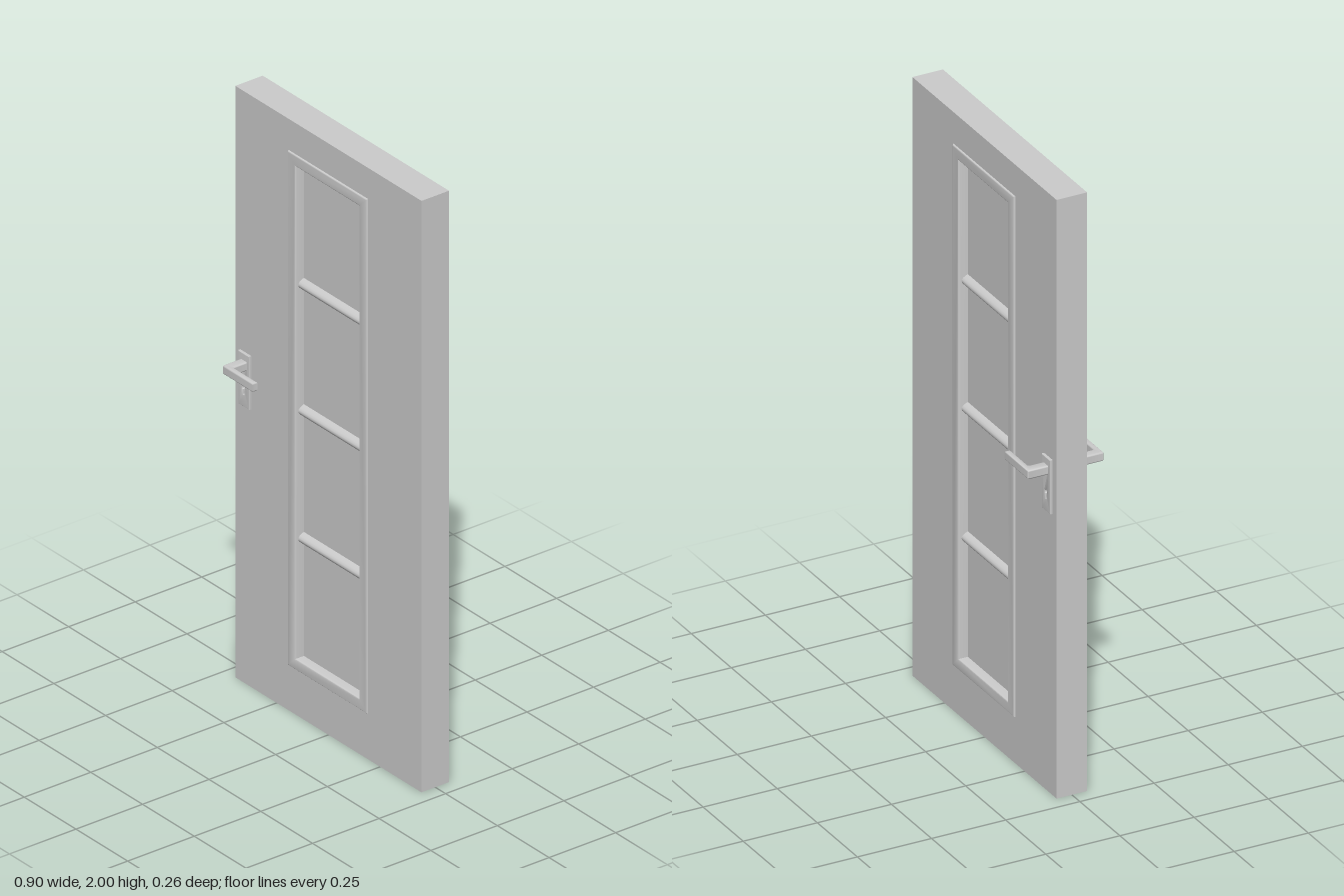
import * as THREE from 'three';
import { toCreasedNormals } from 'three/addons/utils/BufferGeometryUtils.js';

const grey = new THREE.MeshStandardMaterial({ color: 0xcccccc });

function part(name, geometry, parent) {
  const mesh = new THREE.Mesh(geometry, grey);
  mesh.name = name;
  parent.add(mesh);
  return mesh;
}

// Rectangle outline from its edges, as a Shape or a hole Path
function rect(Type, x0, x1, y0, y1) {
  const r = new Type();
  r.moveTo(x0, y0).lineTo(x1, y0).lineTo(x1, y1).lineTo(x0, y1).closePath();
  return r;
}

// Extrusion with a rounded edge that keeps the outline's size; spans z0..z1
function extrude(shape, z0, z1, bevel = 0) {
  const g = new THREE.ExtrudeGeometry(shape, {
    depth: z1 - z0 - 2 * bevel, bevelEnabled: bevel > 0, bevelThickness: bevel,
    bevelSize: bevel, bevelOffset: -bevel, bevelSegments: 3, curveSegments: 10,
  });
  g.translate(0, 0, z0 + bevel);
  return toCreasedNormals(g, 0.6);
}

// Door handle for a face at z = FACE; dir is the way the lever points in x
const FACE = 0.0515;
function createHandle(dir) {
  const handle = new THREE.Group();
  const cx = -0.399 * dir;

  // Back plate with a keyhole cut through it
  const plate = rect(THREE.Shape, cx - 0.027, cx + 0.027, 0.94, 1.12);
  const hole = new THREE.Path();
  hole.absarc(cx, 1.004, 0.007, -1.1, Math.PI + 1.1, false);
  hole.lineTo(cx - 0.0032, 0.982).lineTo(cx + 0.0032, 0.982).closePath();
  plate.holes.push(hole);
  part('handlePlate', extrude(plate, FACE - 0.004, 0.0605, 0.003), handle);

  // Neck and lever as one bent bar, drawn in plan and extruded upwards
  const lever = new THREE.Shape();
  [[-0.414, 0.05], [-0.383, 0.05], [-0.383, 0.106], [-0.379, 0.11], [-0.268, 0.11],
    [-0.268, 0.128], [-0.411, 0.128], [-0.414, 0.125]]
    .forEach(([x, z], i) => (i ? lever.lineTo(x * dir, z) : lever.moveTo(x * dir, z)));
  lever.closePath();
  const bar = extrude(lever, -0.015, 0.015, 0.005);
  bar.rotateX(Math.PI / 2).translate(0, 1.082, 0);
  part('lever', bar, handle);
  return handle;
}

export function createModel() {
  const door = new THREE.Group();
  door.name = 'door';

  // Slab with a tall window opening
  const slab = rect(THREE.Shape, -0.45, 0.45, 0, 2);
  slab.holes.push(rect(THREE.Path, -0.175, 0.175, 0.17, 1.88));
  part('slab', extrude(slab, -FACE, FACE), door);

  // Raised moulding that lines the opening on both faces
  const frame = rect(THREE.Shape, -0.192, 0.192, 0.155, 1.895);
  frame.holes.push(rect(THREE.Path, -0.153, 0.153, 0.192, 1.857));
  part('windowFrame', extrude(frame, -0.057, 0.057, 0.005), door);

  // Recessed pane
  const pane = part('pane', new THREE.BoxGeometry(0.32, 1.68, 0.05), door);
  pane.position.y = 1.025;

  // Rounded glazing bars
  for (const y of [0.593, 1.025, 1.452]) {
    const g = new THREE.CylinderGeometry(1, 1, 0.31, 24);
    g.rotateZ(Math.PI / 2).scale(1, 0.022, 0.046);
    part('glazingBar', g, door).position.y = y;
  }

  // A handle on each face, both near the same edge
  const front = createHandle(1);
  front.name = 'frontHandle';
  const back = createHandle(-1);
  back.name = 'backHandle';
  back.rotation.y = Math.PI;
  door.add(front, back);
  return door;
}
